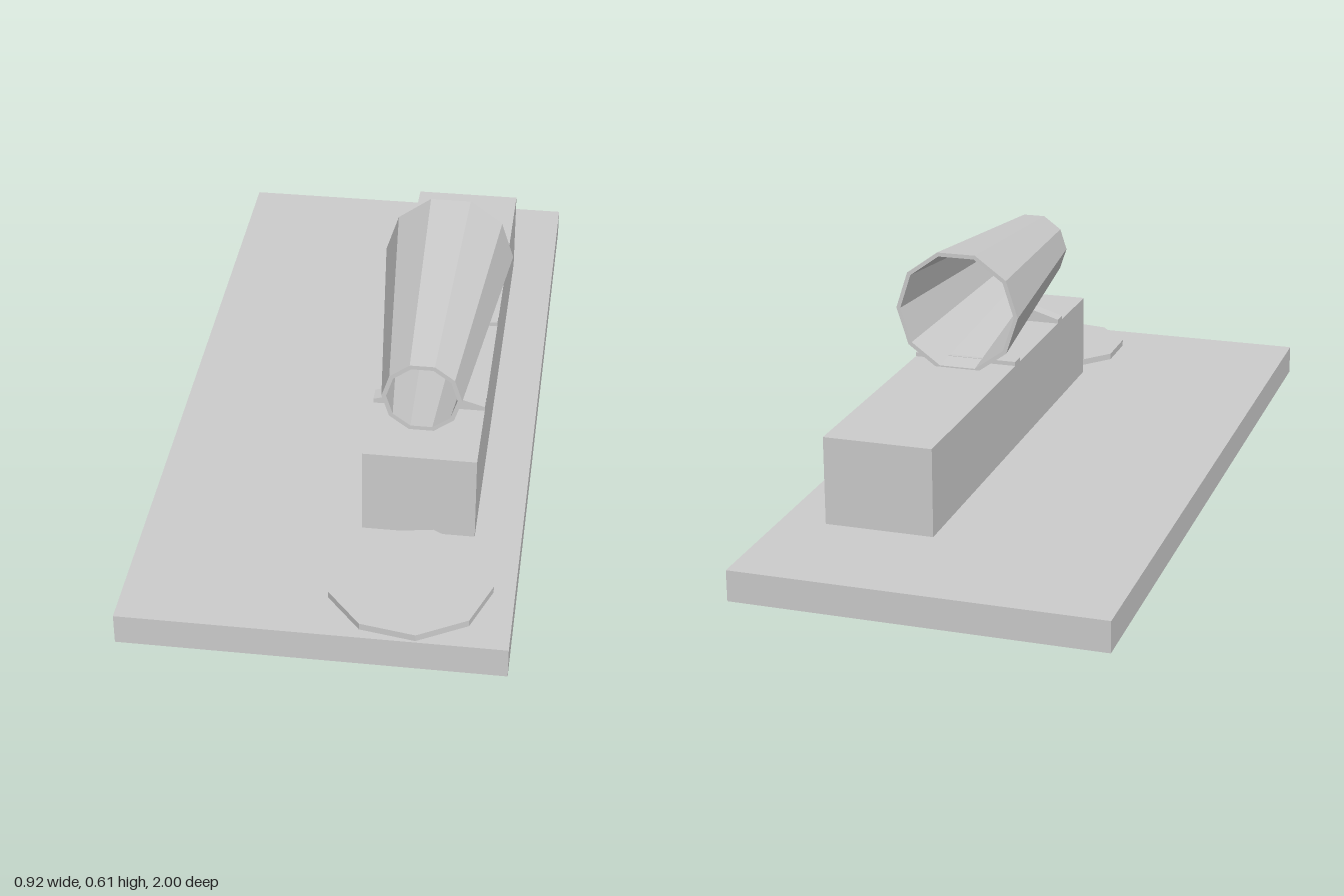
import * as THREE from 'three';

const material = new THREE.MeshStandardMaterial({ color: 0xcccccc, flatShading: true });

function addPart(group, name, geometry, x, y, z) {
  const mesh = new THREE.Mesh(geometry, material);
  mesh.name = name;
  mesh.position.set(x, y, z);
  group.add(mesh);
}

// Plate standing across the block, outlined in x/y and centred in depth
function supportGeometry(points, depth) {
  const shape = new THREE.Shape(points.map(([x, y]) => new THREE.Vector2(x, y)));
  return new THREE.ExtrudeGeometry(shape, { depth, bevelEnabled: false }).translate(0, 0, -depth / 2);
}

export function createModel() {
  const group = new THREE.Group();
  const cx = 0.208;       // shared centre line of block, tube and disc
  const half = 0.138;     // half width of the block

  addPart(group, 'basePlate', new THREE.BoxGeometry(0.92, 0.078, 2), 0, 0.039, 0);
  addPart(group, 'block', new THREE.BoxGeometry(half * 2, 0.224, 1.275), cx, 0.19, -0.04);

  // Low nine-sided disc in front of the block
  const disc = new THREE.CylinderGeometry(0.198, 0.198, 0.018, 9, 1, false, Math.PI / 2);
  addPart(group, 'disc', disc, 0.211, 0.086, 0.8);

  // Thin-walled ten-sided tube, narrowing to the front
  const profile = [[0.166, -0.103], [0.096, 0.565], [0.085, 0.565], [0.155, -0.103], [0.166, -0.103]]
    .map(([r, z]) => new THREE.Vector2(r, z));
  const tube = new THREE.LatheGeometry(profile, 10, Math.PI / 2).rotateX(Math.PI / 2);
  addPart(group, 'taperedTube', tube, cx, 0.453, 0);

  // Front support rises to a flat seat under the tube; the rear one stays low
  const front = [[-half, 0], [half, 0], [half, 0.012], [0.038, 0.042], [-0.038, 0.042], [-half, 0.012]];
  const rear = [[-half, 0], [half, 0], [half, 0.012], [-half, 0.012]];
  addPart(group, 'frontSupport', supportGeometry(front, 0.04), cx, 0.301, 0.363);
  addPart(group, 'rearSupport', supportGeometry(rear, 0.04), cx, 0.301, -0.02);

  return group;
}
